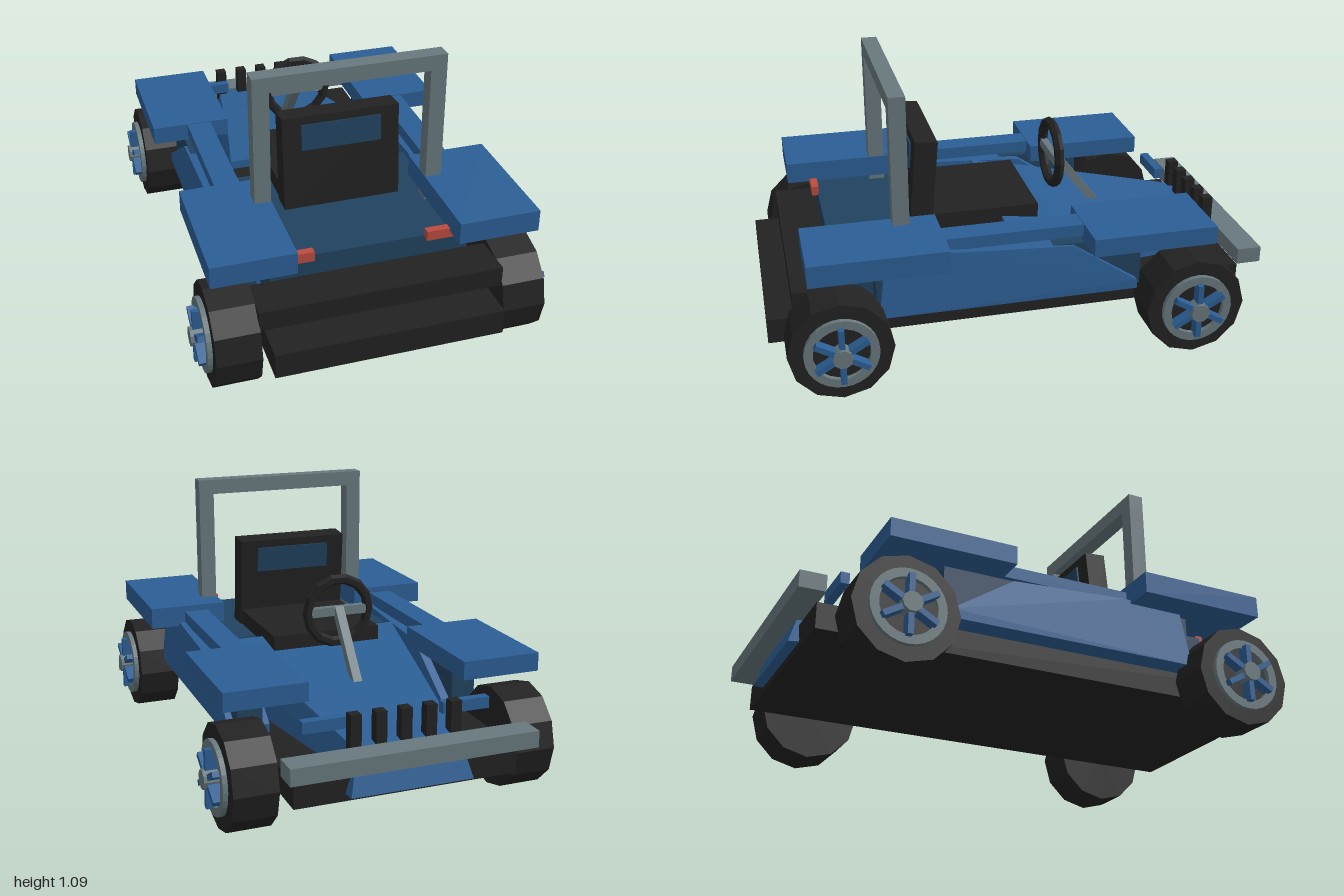
import * as THREE from 'three';
import { ConvexGeometry } from 'three/addons/geometries/ConvexGeometry.js';

export function createModel() {
  const model = new THREE.Group();
  model.name = 'buggy';

  const material = (name, color) => {
    const m = new THREE.MeshStandardMaterial({ color, flatShading: true });
    m.name = name;
    return m;
  };
  const blue = material('body blue', 0x2c5f95);
  const navy = material('dark blue', 0x21425f);
  const black = material('black', 0x222222);
  const steel = material('grey steel', 0x68797e);
  const red = material('lamp red', 0xbc4c40);

  const add = (name, geometry, mat, parent = model) => {
    const mesh = new THREE.Mesh(geometry, mat);
    mesh.name = name;
    parent.add(mesh);
    return mesh;
  };
  // box given by its limits on each axis
  const box = (name, mat, [x0, x1], [y0, y1], [z0, z1], parent) => {
    const mesh = add(name, new THREE.BoxGeometry(x1 - x0, y1 - y0, z1 - z0), mat, parent);
    mesh.position.set((x0 + x1) / 2, (y0 + y1) / 2, (z0 + z1) / 2);
    return mesh;
  };
  const hull = (name, mat, points) =>
    add(name, new ConvexGeometry(points.map((p) => new THREE.Vector3(...p))), mat);
  const span = (s, a, b) => (s > 0 ? [a, b] : [-b, -a]);

  // chassis, bumpers and tub
  box('chassis', black, [-0.44, 0.44], [0.155, 0.255], [-0.92, 1]);
  box('lampEndBumper', black, [-0.47, 0.47], [0.295, 0.375], [0.73, 0.9]);
  box('noseBumper', steel, [-0.48, 0.48], [0.28, 0.345], [-1, -0.9]);
  box('tub', navy, [-0.385, 0.385], [0.275, 0.46], [0.12, 0.73]);
  box('cockpitFloor', black, [-0.36, 0.36], [0.25, 0.45], [0.02, 0.125]);

  // tapered hood
  const hood = [];
  for (const s of [-1, 1]) {
    hood.push([s * 0.36, 0.485, 0.03], [s * 0.385, 0.25, 0.03], [s * 0.315, 0.455, -0.2],
      [s * 0.2, 0.335, -0.91], [s * 0.24, 0.18, -0.96], [s * 0.36, 0.2, 0.03]);
  }
  hull('hood', blue, hood);

  // stacks across the nose
  for (let i = -2; i <= 2; i++) {
    box('noseStack', black, [i * 0.098 - 0.021, i * 0.098 + 0.021], [0.29, 0.46], [-0.893, -0.85]);
  }

  // side pods, fenders and lamps on both sides
  const podProfile = [[0.55, 0.48], [0.3, 0.495], [-0.19, 0.465], [-0.45, 0.29], [-0.45, 0.255], [0.58, 0.255]];
  for (const s of [-1, 1]) {
    const pod = [];
    for (const [z, y] of podProfile) {
      pod.push([s * 0.365, y, z], [s * (y > 0.4 ? 0.512 : 0.53), y, z]);
    }
    hull('sidePod', blue, pod);
    box('podCore', navy, span(s, 0.4, 0.5), [0.26, 0.47], [-0.47, 0.585]);
    box('sideRail', blue, span(s, 0.385, 0.485), [0.49, 0.54], [-0.24, 0.33]);
    box('lampEndFender', blue, span(s, 0.31, 0.63), [0.478, 0.565], [0.32, 0.848]);
    box('noseFender', blue, span(s, 0.31, 0.63), [0.47, 0.543], [-0.73, -0.235]);
    box('crossbarEnd', blue, span(s, 0.18, 0.37), [0.385, 0.43], [-0.82, -0.785]);
    box('tailLamp', red, span(s, 0.22, 0.37), [0.45, 0.49], [0.725, 0.755]);
    box('rollBarPost', steel, span(s, 0.312, 0.376), [0.45, 1.03], [0.43, 0.495]);
  }
  box('rollBarTop', steel, [-0.376, 0.376], [1.023, 1.085], [0.43, 0.495]);

  // seat
  box('seatBase', black, [-0.23, 0.23], [0.42, 0.525], [-0.12, 0.35]);
  const seatBack = new THREE.Group();
  seatBack.name = 'seatBack';
  seatBack.position.set(0, 0.65, 0.348);
  seatBack.rotation.x = -0.085;
  model.add(seatBack);
  box('backrest', black, [-0.235, 0.235], [-0.2, 0.188], [-0.045, 0.045], seatBack);
  box('headrest', navy, [-0.16, 0.16], [0.05, 0.155], [-0.052, 0.052], seatBack);

  // steering wheel and column
  const steering = new THREE.Group();
  steering.name = 'steering';
  steering.position.set(0, 0.645, -0.238);
  model.add(steering);
  add('steeringWheel', new THREE.TorusGeometry(0.13, 0.021, 6, 14), black, steering);
  box('steeringBar', steel, [-0.12, 0.12], [-0.018, 0.018], [-0.014, 0.014], steering);
  const column = box('steeringColumn', steel, [-0.018, 0.018], [-0.018, 0.018], [-0.19, 0.19]);
  column.position.set(0, 0.505, -0.355);
  column.rotation.x = -0.91;

  // wheels, built around the x axis with the outer face towards +x
  const ringShape = new THREE.Shape().absarc(0, 0, 0.142, 0, Math.PI * 2, false);
  ringShape.holes.push(new THREE.Path().absarc(0, 0, 0.108, 0, Math.PI * 2, true));
  const ringGeometry = new THREE.ExtrudeGeometry(ringShape, { depth: 0.025, bevelEnabled: false, curveSegments: 14 })
    .rotateY(Math.PI / 2).translate(0.632, 0, 0);
  const disc = (radius, x0, x1, sides) => new THREE.CylinderGeometry(radius, radius, x1 - x0, sides)
    .rotateZ(Math.PI / 2).translate((x0 + x1) / 2, 0, 0);
  for (const z of [0.74, -0.66]) {
    const axle = add('axle', disc(0.028, -0.5, 0.5, 8), steel);
    axle.position.set(0, 0.205, z);
    for (const s of [-1, 1]) {
      const wheel = new THREE.Group();
      wheel.name = 'wheel';
      wheel.position.set(0, 0.201, z);
      wheel.rotation.y = s > 0 ? 0 : Math.PI;
      model.add(wheel);
      add('tyre', disc(0.201, 0.468, 0.638, 12), black, wheel);
      add('rim', ringGeometry, steel, wheel);
      add('hub', disc(0.038, 0.63, 0.695, 10), steel, wheel);
      for (let i = 0; i < 6; i++) {
        const spoke = add('spoke', new THREE.BoxGeometry(0.045, 0.095, 0.022).translate(0.66, 0.067, 0), blue, wheel);
        spoke.rotation.x = (i * Math.PI) / 3;
      }
    }
  }
  return model;
}
